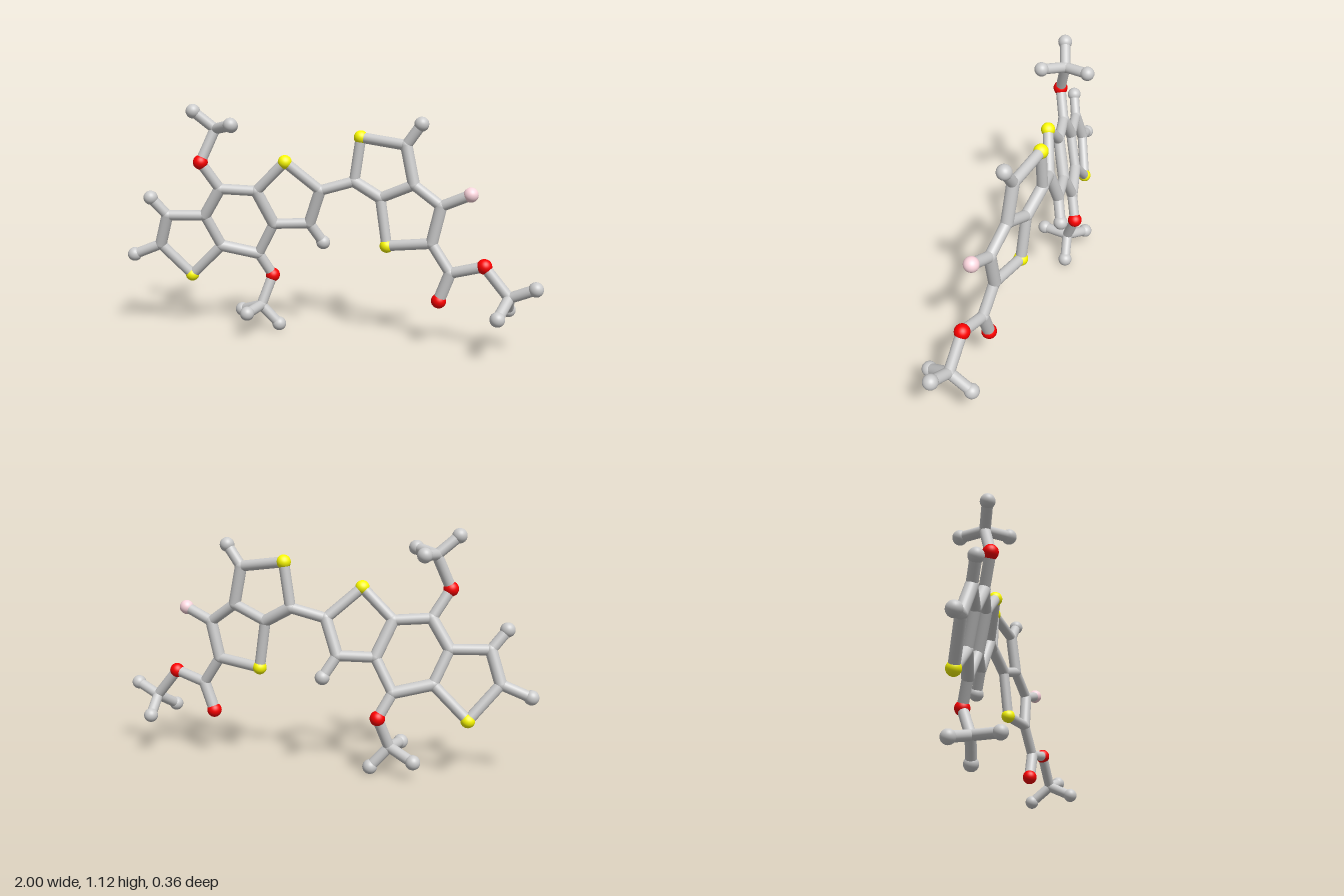
import * as THREE from 'three';

const grey = new THREE.MeshStandardMaterial({ color: 0xcccccc });
const yellow = new THREE.MeshStandardMaterial({ color: 0xffff00 });
const red = new THREE.MeshStandardMaterial({ color: 0xff0000 });
const pink = new THREE.MeshStandardMaterial({ color: 0xffd8e0 });

// Ball style per element: [name, material, radius]
const STYLE = {
  C: ['carbonJoint', grey, 0.028],
  H: ['hydrogenBall', grey, 0.034],
  S: ['sulfurBall', yellow, 0.033],
  O: ['oxygenBall', red, 0.035],
  F: ['fluorineBall', pink, 0.034],
};

// The two fused ring systems are flat: depth follows a tilted plane
const leftPlane = (x, y) => -0.262 - 0.191 * x + 0.235 * y;
const rightPlane = (x, y) => -0.103 + 0.18 * x - 0.035 * y;

// First letter of each key is the element; values are x, y
const leftAtoms = {
  S1: [-0.70, 0.275], C2: [-0.835, 0.435], C3: [-0.785, 0.585], C4: [-0.605, 0.585],
  C5: [-0.52, 0.72], C6: [-0.35, 0.71], C7: [-0.28, 0.545], C8: [-0.365, 0.39],
  C9: [-0.54, 0.43], S10: [-0.205, 0.853], C11: [-0.05, 0.715], C12: [-0.11, 0.55],
  H2: [-0.97, 0.38], H3: [-0.853, 0.673], H12: [-0.05, 0.452],
  O5: [-0.597, 0.85], O8: [-0.305, 0.277],
};
const rightAtoms = {
  C20: [0.11, 0.76], S21: [0.14, 0.968], C22: [0.36, 0.94], C23: [0.40, 0.76],
  C24: [0.24, 0.69], S25: [0.275, 0.466], C26: [0.49, 0.495], C27: [0.53, 0.67],
  H22: [0.43, 1.038], F27: [0.664, 0.73], C28: [0.58, 0.365],
  O28: [0.53, 0.23], O29: [0.735, 0.41],
};
// Methyl ends stand out of the planes: x, y, z
const methylAtoms = {
  C30: [-0.535, 1.005, 0.01], H31: [-0.63, 1.088, 0.045], H32: [-0.43, 1.03, 0.094], H33: [-0.50, 1.01, -0.112],
  C40: [-0.35, 0.133, -0.087], H41: [-0.47, 0.087, -0.148], H42: [-0.265, 0.038, -0.106], H43: [-0.38, 0.124, 0.048],
  C50: [0.85, 0.275, 0.03], H51: [0.965, 0.328, 0.056], H52: [0.805, 0.206, 0.146], H53: [0.845, 0.194, -0.068],
};

const SINGLE = [
  'S1-C2', 'C3-C4', 'C9-S1', 'C4-C9', 'C5-C6', 'C7-C8', 'C6-S10', 'S10-C11', 'C12-C7',
  'C2-H2', 'C3-H3', 'C12-H12', 'C5-O5', 'O5-C30', 'C8-O8', 'O8-C40', 'C11-C20',
  'C20-S21', 'S21-C22', 'C23-C24', 'C24-S25', 'S25-C26', 'C27-C23', 'C22-H22', 'C27-F27',
  'C26-C28', 'C28-O29', 'O29-C50',
];
for (const n of [3, 4, 5]) for (const k of [1, 2, 3]) SINGLE.push(`C${n}0-H${n}${k}`);
const DOUBLE = ['C2-C3', 'C4-C5', 'C6-C7', 'C8-C9', 'C11-C12', 'C20-C24', 'C22-C23', 'C26-C27', 'C28-O28'];

export function createModel() {
  const model = new THREE.Group();
  model.name = 'ballAndStickMolecule';
  const pos = {};

  // Gather all atom positions
  for (const [atoms, plane] of [[leftAtoms, leftPlane], [rightAtoms, rightPlane]])
    for (const [id, [x, y]] of Object.entries(atoms)) pos[id] = new THREE.Vector3(x, y, plane(x, y));
  for (const [id, p] of Object.entries(methylAtoms)) pos[id] = new THREE.Vector3(...p);

  // Balls
  const ball = new THREE.SphereGeometry(1, 28, 20);
  for (const [id, p] of Object.entries(pos)) {
    const [name, material, radius] = STYLE[id[0]];
    const mesh = new THREE.Mesh(ball, material);
    mesh.name = name;
    mesh.position.copy(p);
    mesh.scale.setScalar(radius);
    model.add(mesh);
  }

  // Sticks between the balls
  const stick = new THREE.CylinderGeometry(1, 1, 1, 24);
  const up = new THREE.Vector3(0, 1, 0);
  const addBonds = (list, radius, name) => {
    for (const bond of list) {
      const [a, b] = bond.split('-').map((id) => pos[id]);
      const dir = b.clone().sub(a);
      const mesh = new THREE.Mesh(stick, grey);
      mesh.name = name;
      mesh.position.copy(a).add(b).multiplyScalar(0.5);
      mesh.scale.set(radius, dir.length(), radius);
      mesh.quaternion.setFromUnitVectors(up, dir.normalize());
      model.add(mesh);
    }
  };
  addBonds(SINGLE, 0.025, 'singleBond');
  addBonds(DOUBLE, 0.028, 'doubleBond');
  return model;
}
